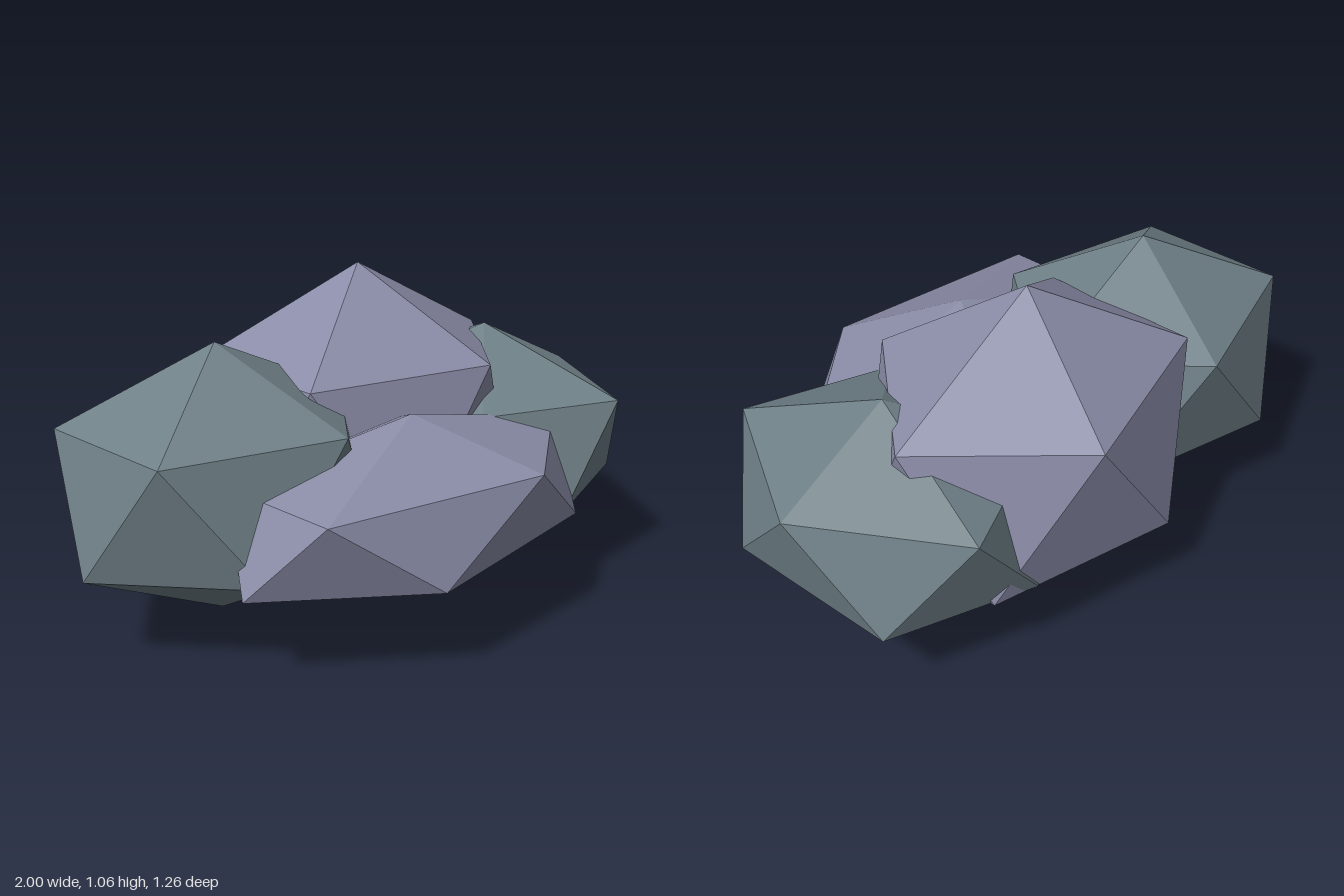
import * as THREE from 'three';

const slateGreen = new THREE.MeshStandardMaterial({ color: 0x6f8087 });
slateGreen.name = 'slate green stone';
const lavenderGrey = new THREE.MeshStandardMaterial({ color: 0x8b8da8 });
lavenderGrey.name = 'lavender grey stone';

// Faceted boulder: a stretched icosahedron standing on one vertex,
// with a corner of its upper ring pointing to +x
function boulder(name, material, position, radii) {
  const geometry = new THREE.IcosahedronGeometry(1, 0);
  geometry.rotateZ(-Math.atan(2 / (1 + Math.sqrt(5))));
  geometry.scale(...radii);
  const mesh = new THREE.Mesh(geometry, material);
  mesh.name = name;
  mesh.position.set(...position);
  return mesh;
}

export function createModel() {
  const group = new THREE.Group();
  group.name = 'rockCluster';
  group.add(
    boulder('tallBoulder', lavenderGrey, [0.153, 0.534, -0.197], [0.626, 0.532, 0.512]),
    boulder('rightBoulder', slateGreen, [-0.491, 0.494, -0.142], [0.569, 0.434, 0.49]),
    boulder('leftBoulder', slateGreen, [0.588, 0.458, -0.025], [0.461, 0.359, 0.571]),
    boulder('frontSlab', lavenderGrey, [-0.075, 0.423, 0.279], [0.754, 0.284, 0.415]),
  );
  return group;
}
